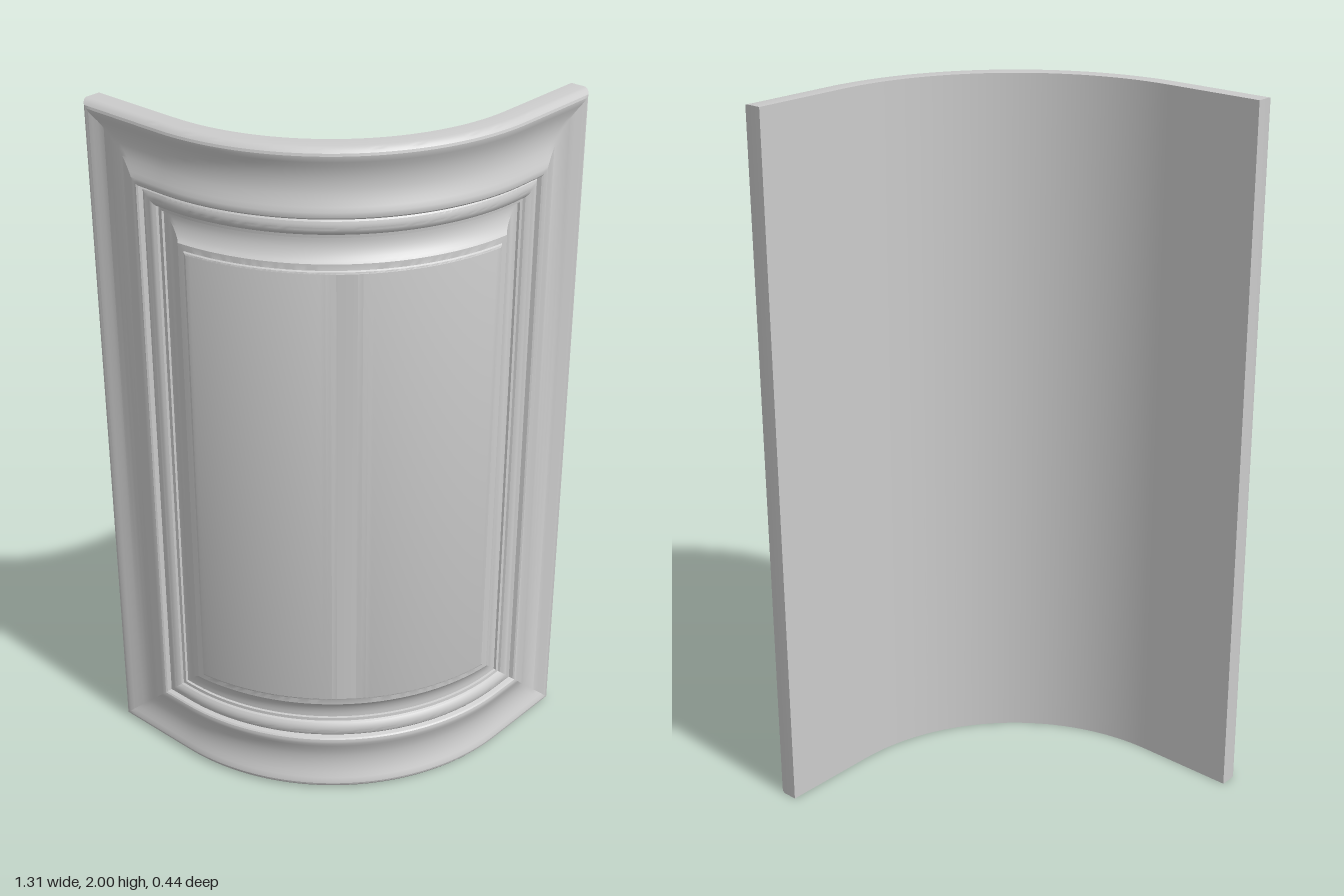
import * as THREE from 'three';
import { toCreasedNormals } from 'three/addons/utils/BufferGeometryUtils.js';

const HEIGHT = 2;
const HALF = 0.75;          // half width measured along the back face
const RADIUS = 0.59;        // bend radius of the back face
const BEND = Math.PI / 4;   // the arc runs out into straight ends at 45 degrees
const CENTRE_Z = 0.153 - RADIUS;
const SIDE = 1.07;          // side insets are slightly wider than top and bottom
const STEPS = 64;

// Moulding profiles: [inset from the edge, height above the back face]
const frameProfile = [
  [0, 0], [0, 0.044], [0.002, 0.052], [0.007, 0.06], [0.013, 0.065], [0.02, 0.067],
  [0.027, 0.066], [0.037, 0.062], [0.05, 0.0565], [0.065, 0.052], [0.08, 0.049],
  [0.095, 0.048], [0.11, 0.0485], [0.125, 0.051], [0.14, 0.0555], [0.155, 0.061],
  [0.167, 0.066], [0.175, 0.067], [0.182, 0.0655], [0.186, 0.062], [0.19, 0.05],
];
const beadProfile = [
  [0.19, 0.05], [0.195, 0.0545], [0.202, 0.057], [0.21, 0.058], [0.218, 0.057],
  [0.226, 0.054], [0.232, 0.049], [0.235, 0.043], [0.244, 0.042], [0.245, 0.035],
];
const panelProfile = [
  [0.245, 0.035], [0.255, 0.0345], [0.265, 0.0355], [0.275, 0.038], [0.285, 0.042],
  [0.294, 0.047], [0.302, 0.053], [0.308, 0.06], [0.325, 0.061], [0.328, 0.065], [0.333, 0.067],
];

// Bends a flat point (s across, y up, d out from the back face) around the arc
function bend(s, y, d) {
  const a = THREE.MathUtils.clamp(s / RADIUS, -BEND, BEND);
  const t = s - a * RADIUS;
  return [
    Math.sin(a) * (RADIUS + d) + Math.cos(a) * t,
    y,
    CENTRE_Z + Math.cos(a) * (RADIUS + d) - Math.sin(a) * t,
  ];
}

// Rectangular mitred loop, anticlockwise from the front
function ring([inset, d]) {
  const w = HALF - inset * SIDE;
  const points = [];
  for (let k = 0; k <= STEPS; k++) points.push(bend(-w + (2 * w * k) / STEPS, inset, d));
  for (let k = STEPS; k >= 0; k--) points.push(bend(-w + (2 * w * k) / STEPS, HEIGHT - inset, d));
  return points;
}

function addQuad(out, a, b, c, d) {
  out.push(...a, ...b, ...c, ...a, ...c, ...d);
}

function addMoulding(out, profile) {
  const rings = profile.map(ring);
  for (let r = 0; r < rings.length - 1; r++) {
    const a = rings[r], b = rings[r + 1];
    for (let k = 0; k < a.length; k++) {
      const n = (k + 1) % a.length;
      addQuad(out, a[k], a[n], b[n], b[k]);
    }
  }
}

// Curved sheet filling a loop, facing forward or backward
function addSheet(out, point, forward) {
  const loop = ring(point);
  const last = loop.length - 1;
  for (let k = 0; k < STEPS; k++) {
    const q = [loop[k], loop[k + 1], loop[last - k - 1], loop[last - k]];
    addQuad(out, ...(forward ? q : q.reverse()));
  }
}

function makeMesh(name, positions, material) {
  const geometry = new THREE.BufferGeometry();
  geometry.setAttribute('position', new THREE.Float32BufferAttribute(positions, 3));
  const mesh = new THREE.Mesh(toCreasedNormals(geometry, 0.38), material);
  mesh.name = name;
  return mesh;
}

export function createModel() {
  const group = new THREE.Group();
  group.name = 'curvedDoor';
  const material = new THREE.MeshStandardMaterial({ color: 0xcccccc });

  // Outer frame with rounded edge and wide cove
  const frame = [];
  addMoulding(frame, frameProfile);
  group.add(makeMesh('outerFrame', frame, material));

  // Narrow bead inside the frame
  const bead = [];
  addMoulding(bead, beadProfile);
  group.add(makeMesh('innerBead', bead, material));

  // Raised centre panel with coved border
  const panel = [];
  addMoulding(panel, panelProfile);
  addSheet(panel, panelProfile[panelProfile.length - 1], true);
  group.add(makeMesh('raisedPanel', panel, material));

  // Plain curved back
  const back = [];
  addSheet(back, frameProfile[0], false);
  group.add(makeMesh('backFace', back, material));

  return group;
}
